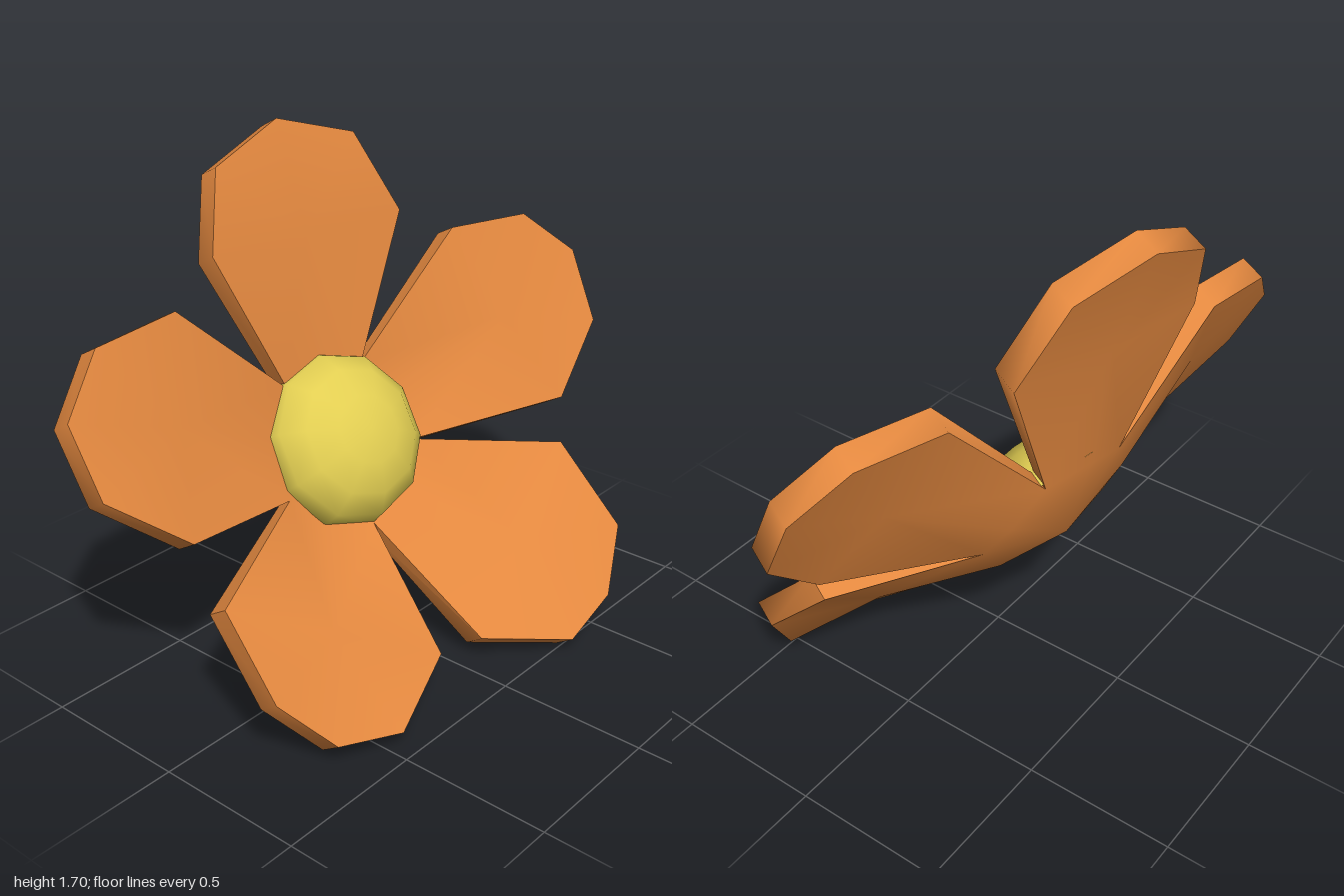
import * as THREE from 'three';
import { toCreasedNormals } from 'three/addons/utils/BufferGeometryUtils.js';

const petalOrange = new THREE.MeshStandardMaterial({ color: 0xe3883f });
petalOrange.name = 'petalOrange';
const centreYellow = new THREE.MeshStandardMaterial({ color: 0xe2ce52 });
centreYellow.name = 'centreYellow';

const vec = (p) => new THREE.Vector3(...p);

// Flower centre, the axis it faces along, and hollowness of the petals
const CENTRE = vec([0.02, 0.66, -0.226]);
const AXIS = vec([-0.161, 0.508, 0.846]).normalize();
const HOLLOW = 0.018;

// Thickness and outward lean of the back skin: thinner around the foot
const BLADE = { thickness: 0.09, lean: 0.08 };
const FOOT = { thickness: 0.06, lean: 0.2 };
const FOOT_RADIUS = 0.4;

// Front outline of each petal, clockwise: notch, side, shoulder, tip, shoulder, side
const PETALS = [
  [[-0.127, 0.866, -0.324], [-0.345, 1.35, -0.41], [-0.25, 1.6, -0.48], [0.02, 1.705, -0.48], [0.28, 1.63, -0.385], [0.38, 1.365, -0.27]],
  [[0.18, 0.876, -0.27], [0.54, 1.285, -0.17], [0.83, 1.285, -0.08], [0.979, 1.14, 0.035], [0.96, 0.908, 0.15], [0.733, 0.69, 0.18]],
  [[0.268, 0.607, -0.109], [0.667, 0.555, 0.23], [0.672, 0.31, 0.48], [0.545, 0.11, 0.535], [0.3, 0.057, 0.555], [0.055, 0.1, 0.36]],
  [[-0.003, 0.41, -0.058], [-0.16, 0.15, 0.36], [-0.46, 0.06, 0.455], [-0.67, 0.09, 0.38], [-0.81, 0.26, 0.27], [-0.78, 0.475, 0.04]],
  [[-0.268, 0.553, -0.187], [-0.76, 0.635, -0.1], [-0.985, 0.82, -0.22], [-1, 1.04, -0.33], [-0.835, 1.205, -0.39], [-0.535, 1.235, -0.38]],
];

// Middle of each petal's foot, and the hub where they meet
const FEET = [[0.02, 0.892, -0.318], [0.268, 0.755, -0.214], [0.165, 0.484, -0.098], [-0.162, 0.452, -0.14], [-0.219, 0.727, -0.283]];
const HUB = [0, 0.575, -0.23];

// Direction from the centre across the flower's plane
const outward = (p) => p.clone().sub(CENTRE).projectOnPlane(AXIS).normalize();

// Point on the back skin behind a point on the front skin
function behind(p, isHub) {
  const { thickness, lean } = p.distanceTo(CENTRE) < FOOT_RADIUS ? FOOT : BLADE;
  const direction = AXIS.clone();
  if (!isHub) direction.addScaledVector(outward(p), -lean).normalize();
  return p.clone().addScaledVector(direction, -thickness);
}

// Five joined petals: front skin, back skin and rim
function petalGeometry() {
  const rim = PETALS.flat().map(vec);
  const hollows = PETALS.map((p) => vec(p[1]).lerp(vec(p[5]), 0.5).addScaledVector(AXIS, -HOLLOW));
  const front = [...rim, ...FEET.map(vec), ...hollows, vec(HUB)];
  const hub = front.length - 1;
  const back = front.map((p, i) => behind(p, i === hub));
  const offset = front.length;

  const index = [];
  const addSkins = (p, q, r) => index.push(p, r, q, p + offset, q + offset, r + offset);
  for (let k = 0; k < PETALS.length; k++) {
    const start = k * 6;
    const next = (start + 6) % rim.length;
    const foot = rim.length + k;
    const hollow = foot + PETALS.length;
    const loop = [0, 1, 2, 3, 4, 5].map((i) => start + i).concat(next, foot);
    loop.forEach((v, i) => addSkins(hollow, v, loop[(i + 1) % loop.length]));
    addSkins(hub, start, foot);
    addSkins(hub, foot, next);
  }
  for (let i = 0; i < rim.length; i++) {
    const j = (i + 1) % rim.length;
    index.push(i, j, j + offset, i, j + offset, i + offset);
  }

  const geometry = new THREE.BufferGeometry().setFromPoints([...front, ...back]);
  geometry.setIndex(index);
  return toCreasedNormals(geometry, 0.9);
}

// Ten-sided flattened dome, one corner pointing at the top petal
function domeGeometry() {
  const x = outward(vec(PETALS[0][3]));
  const z = new THREE.Vector3().crossVectors(x, AXIS);
  return new THREE.SphereGeometry(1, 10, 4, 0, Math.PI * 2, 0, Math.PI / 2)
    .scale(0.304, 0.2, 0.298)
    .applyMatrix4(new THREE.Matrix4().makeBasis(x, AXIS, z).setPosition(CENTRE));
}

export function createModel() {
  const flower = new THREE.Group();
  flower.name = 'flower';

  const petals = new THREE.Mesh(petalGeometry(), petalOrange);
  petals.name = 'petals';
  const dome = new THREE.Mesh(domeGeometry(), centreYellow);
  dome.name = 'flowerCentre';

  flower.add(petals, dome);
  return flower;
}
